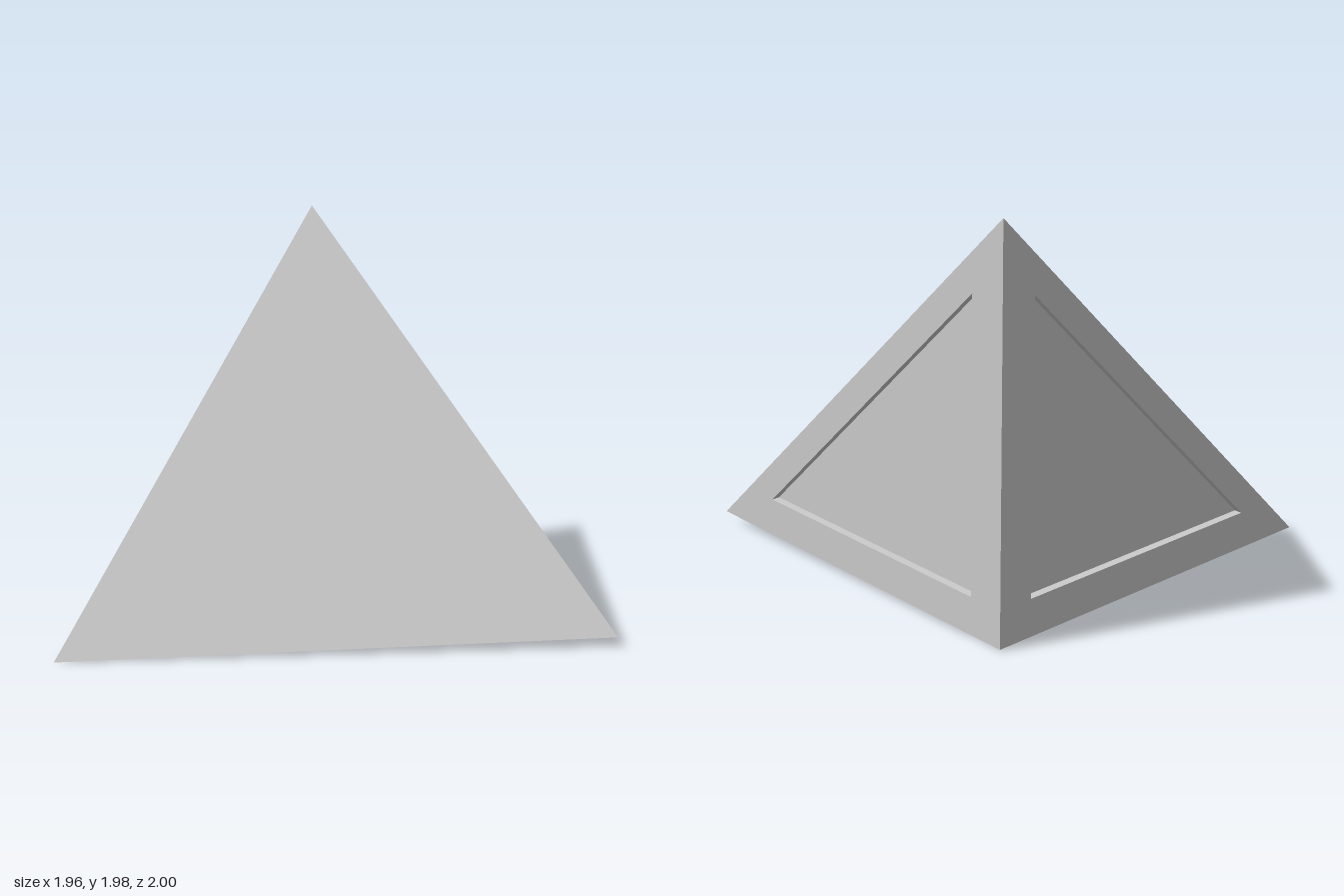
import * as THREE from 'three';

const INSET = 0.716;  // recess outline relative to the face, scaled about its centroid
const DEPTH = 0.04;   // recess depth

// Corners of the wedge: three tips around one near-square corner
const top = new THREE.Vector3(0.98, 1.98, -1);
const side = new THREE.Vector3(-0.98, 0, -0.97);
const front = new THREE.Vector3(0.98, 0.05, 1);
const corner = new THREE.Vector3(0.975, 0.005, -0.97);

function mesh(name, triangles) {
  const geometry = new THREE.BufferGeometry().setFromPoints(triangles);
  geometry.computeVertexNormals();
  const material = new THREE.MeshStandardMaterial({ color: 0xcccccc, flatShading: true });
  const m = new THREE.Mesh(geometry, material);
  m.name = name;
  return m;
}

// Triangular strip between two nested outlines
function ring(outer, inner) {
  return outer.flatMap((p, i) => {
    const j = (i + 1) % 3;
    return [p, outer[j], inner[j], p, inner[j], inner[i]];
  });
}

// A triangular face with a sunken triangular panel
function recessedFace(name, a, b, c) {
  const outer = [a, b, c];
  const normal = new THREE.Triangle(a, b, c).getNormal(new THREE.Vector3());
  const centre = a.clone().add(b).add(c).divideScalar(3);
  const rim = outer.map(p => centre.clone().lerp(p, INSET));
  const floor = rim.map(p => p.clone().addScaledVector(normal, -DEPTH));
  const face = new THREE.Group();
  face.name = name;
  face.add(
    mesh(name + 'Frame', ring(outer, rim)),
    mesh(name + 'RecessWalls', ring(rim, floor)),
    mesh(name + 'Panel', floor)
  );
  return face;
}

export function createModel() {
  const model = new THREE.Group();
  model.name = 'cornerWedge';
  model.add(
    mesh('slopedFace', [top, side, front]),
    recessedFace('uprightSide', corner, top, front),
    recessedFace('back', corner, side, top),
    recessedFace('underside', corner, front, side)
  );
  return model;
}
